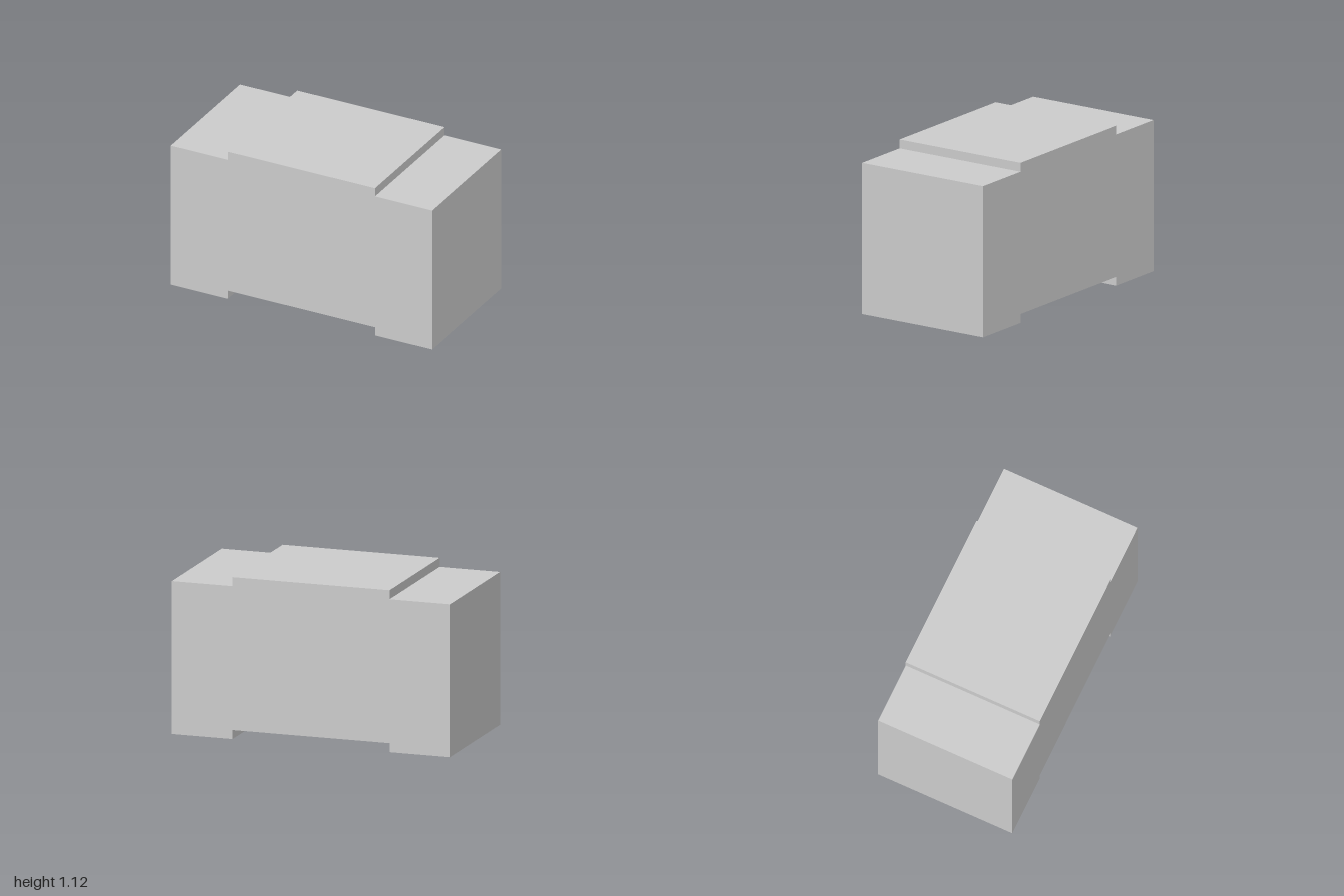
import * as THREE from 'three';

const HALF_WIDTH = 1;
const HALF_STEP = 0.5625; // half width of the raised tongue and matching groove
const STEP = 0.0625;      // tongue height and groove depth
const HEIGHT = 1.0625;    // height of the shoulders
const DEPTH = 1;

export function createModel() {
  const group = new THREE.Group();
  group.name = 'interlockingBlock';

  // Right half of the front outline, bottom to top, then mirrored
  const half = [
    [HALF_STEP, STEP], [HALF_STEP, 0], [HALF_WIDTH, 0],
    [HALF_WIDTH, HEIGHT], [HALF_STEP, HEIGHT], [HALF_STEP, HEIGHT + STEP],
  ];
  const mirrored = half.map(([x, y]) => [-x, y]).reverse();
  const outline = new THREE.Shape([...half, ...mirrored].map(([x, y]) => new THREE.Vector2(x, y)));

  // Block with a tongue on top and a groove underneath
  const geometry = new THREE.ExtrudeGeometry(outline, { depth: DEPTH, bevelEnabled: false });
  geometry.translate(0, 0, -DEPTH / 2);
  const block = new THREE.Mesh(
    geometry,
    new THREE.MeshStandardMaterial({ color: 0xcccccc, flatShading: true }),
  );
  block.name = 'block';
  group.add(block);
  return group;
}
